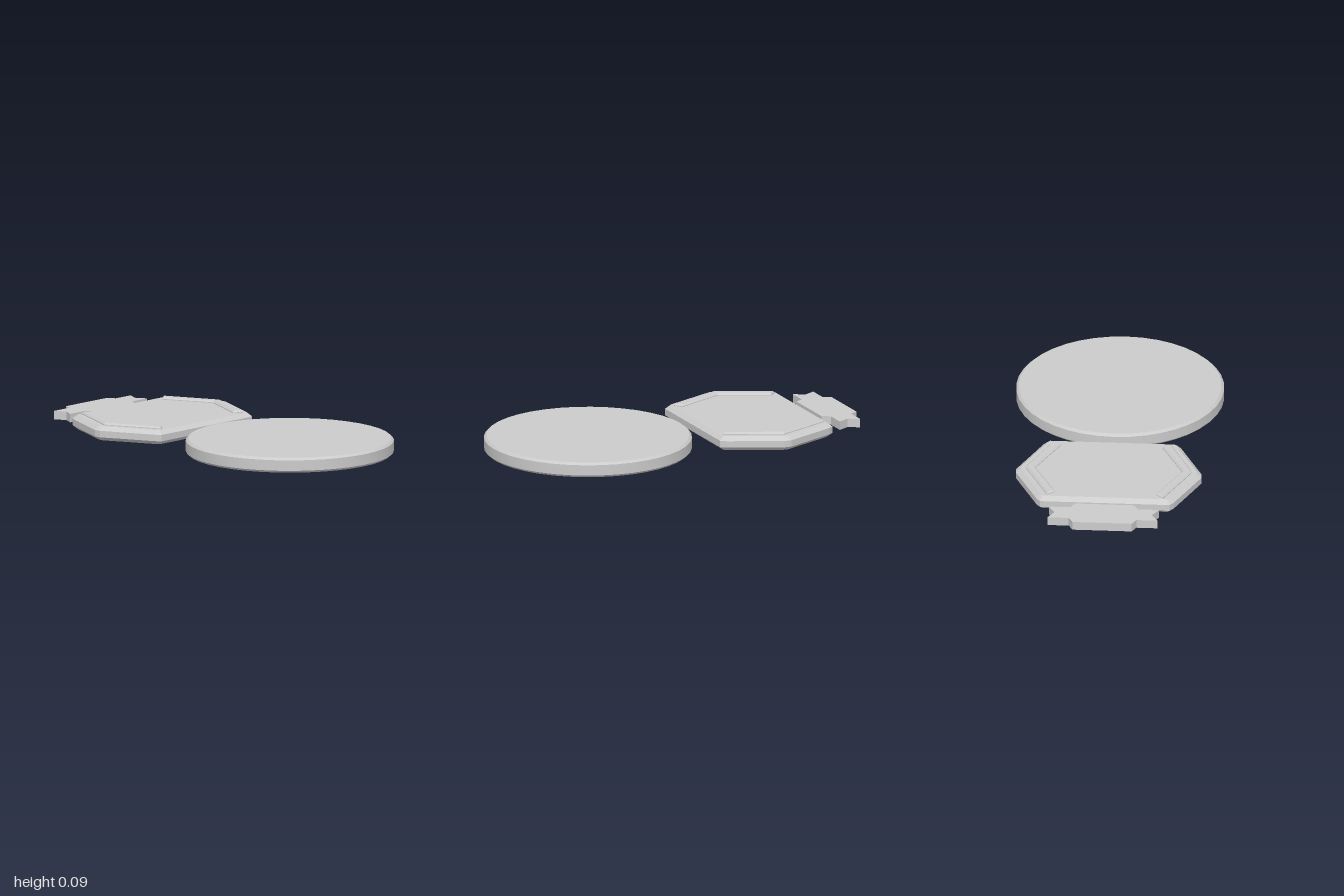
import * as THREE from 'three';
import { toCreasedNormals } from 'three/addons/utils/BufferGeometryUtils.js';

const material = new THREE.MeshStandardMaterial({ color: 0xcccccc });

function addMesh(group, name, geometry) {
  const mesh = new THREE.Mesh(geometry, material);
  mesh.name = name;
  group.add(mesh);
  return mesh;
}

// Slab with a plan outline of [x, z] points, from y0 to y1, edges chamfered inside the outline
function slab(points, y0, y1, inset = 0, drop = 0) {
  const shape = new THREE.Shape(points.map(([x, z]) => new THREE.Vector2(x, -z)));
  const geometry = new THREE.ExtrudeGeometry(shape, {
    depth: y1 - y0 - 2 * drop,
    bevelEnabled: inset > 0,
    bevelSize: inset,
    bevelOffset: -inset,
    bevelThickness: drop,
    bevelSegments: 1,
  });
  geometry.rotateX(-Math.PI / 2);
  geometry.translate(0, y0 + drop, 0);
  return geometry;
}

// Repeats a quarter outline (from the +x axis round to +z) in all four quadrants
function fourWay(quarter) {
  const back = [...quarter].reverse();
  return [
    ...quarter,
    ...back.map(([x, z]) => [-x, z]),
    ...quarter.map(([x, z]) => [-x, -z]),
    ...back.map(([x, z]) => [x, -z]),
  ].filter(([x, z], i, all) => {
    const [px, pz] = all[(i + all.length - 1) % all.length];
    return Math.hypot(x - px, z - pz) > 1e-6;
  });
}

export function createModel() {
  const model = new THREE.Group();
  model.name = 'tokenSet';

  // Round base with chamfered rims
  const profile = [[0, 0], [0.525, 0], [0.538, 0.012], [0.538, 0.067], [0.525, 0.079], [0, 0.079]]
    .map(([r, y]) => new THREE.Vector2(r, y));
  const disc = addMesh(model, 'roundBase',
    toCreasedNormals(new THREE.LatheGeometry(profile, 40), Math.PI / 6));
  disc.position.z = 0.462;

  // Hexagonal plate with clipped corners and a pair of raised V ridges
  const plate = new THREE.Group();
  plate.name = 'hexagonalPlate';
  plate.position.z = -0.456;
  model.add(plate);
  addMesh(plate, 'plateBody',
    slab(fourWay([[0.48, 0.018], [0.355, 0.295], [0.335, 0.321]]), 0.005, 0.079, 0.025, 0.02));

  for (const side of [1, -1]) {
    const outline = [
      [0.432, 0], [0.302, 0.288], [0.261, 0.254], [0.38, 0],
      [0.261, -0.254], [0.302, -0.288],
    ].map(([x, z]) => [x * side, z]);
    addMesh(plate, side > 0 ? 'leftRidge' : 'rightRidge', slab(outline, 0.06, 0.092, 0.01, 0.009));
  }

  // Ribbon-shaped name plaque with notched ends
  const plaque = addMesh(model, 'ribbonPlaque', slab(
    fourWay([[0.253, 0], [0.285, 0.058], [0.175, 0.058], [0.153, 0.1]]), 0.019, 0.064));
  plaque.position.z = -0.9;

  return model;
}
